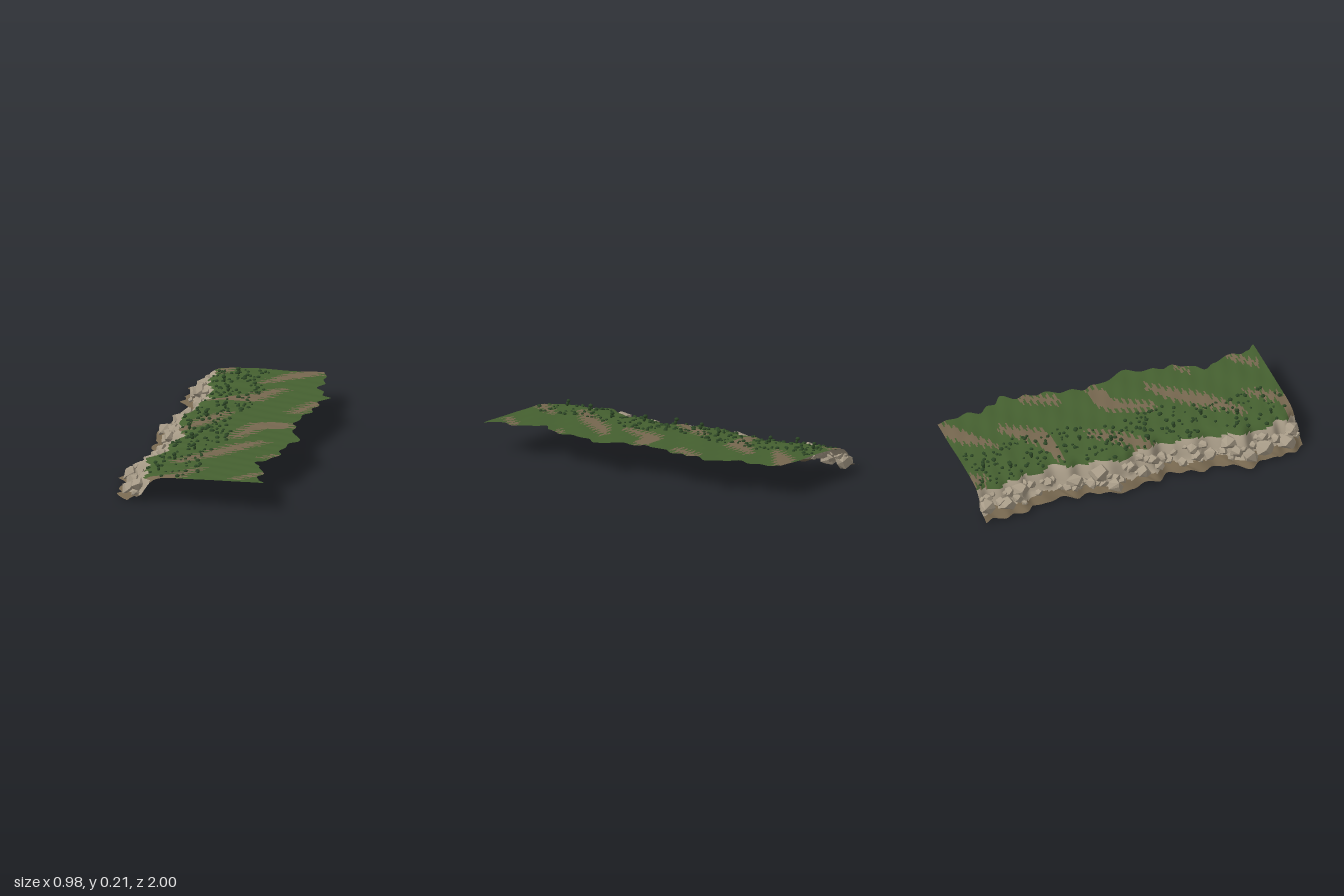
import * as THREE from 'three';
import { mergeGeometries } from 'three/addons/utils/BufferGeometryUtils.js';
import { ConvexGeometry } from 'three/addons/geometries/ConvexGeometry.js';

const flat = (name, color, extra = {}) => new THREE.MeshStandardMaterial({ name, color, ...extra });

// Seeded random numbers
let seed = 7;
const rand = () => {
  seed = (seed * 16807) % 2147483647;
  return seed / 2147483647;
};
const range = (a, b) => a + (b - a) * rand();

// Outlines of both long edges as [z, x]
const toeEdge = [[-1, -0.475], [-0.93, -0.435], [-0.86, -0.46], [-0.81, -0.44], [-0.74, -0.46], [-0.67, -0.39],
  [-0.58, -0.40], [-0.5, -0.375], [-0.42, -0.42], [-0.35, -0.385], [-0.27, -0.42], [-0.18, -0.46], [-0.08, -0.44],
  [0, -0.405], [0.08, -0.43], [0.17, -0.35], [0.25, -0.385], [0.36, -0.42], [0.45, -0.38], [0.53, -0.42],
  [0.64, -0.49], [0.72, -0.42], [0.83, -0.44], [0.88, -0.41], [0.92, -0.43], [1, -0.355]];
const farEdge = [[-1, 0.34], [-0.93, 0.37], [-0.88, 0.365], [-0.8, 0.395], [-0.73, 0.36], [-0.66, 0.42], [-0.62, 0.42],
  [-0.56, 0.485], [-0.48, 0.425], [-0.42, 0.45], [-0.36, 0.42], [-0.3, 0.44], [-0.22, 0.395], [-0.15, 0.405],
  [-0.08, 0.375], [-0.02, 0.41], [0.05, 0.405], [0.21, 0.487], [0.29, 0.435], [0.36, 0.44], [0.42, 0.415],
  [0.48, 0.44], [0.55, 0.4], [0.6, 0.385], [0.65, 0.325], [0.72, 0.37], [0.84, 0.425], [0.9, 0.4], [0.95, 0.42], [1, 0.465]];

// Cliff section as [distance from toe, height]
const section = [[0, 0.012], [0.05, 0.032], [0.085, 0.047], [0.105, 0.08], [0.135, 0.12], [0.165, 0.143],
  [0.2, 0.154], [0.28, 0.163], [0.42, 0.169], [0.95, 0.178]];

// Bare earth streaks: x, z, radius at each end
const streaks = [
  [0.29, -0.99, 0.055, 0.17, -0.9, 0.055], [0.17, -0.9, 0.055, 0.03, -0.75, 0.015],
  [0.18, -0.67, 0.025, 0.04, -0.49, 0.07], [0.04, -0.48, 0.06, -0.18, -0.44, 0.025],
  [0.42, -0.44, 0.04, 0.34, -0.28, 0.035], [-0.04, -0.2, 0.025, -0.14, -0.04, 0.05],
  [-0.14, -0.04, 0.05, -0.26, 0.11, 0.035], [0.34, -0.03, 0.05, 0.2, 0.0, 0.06],
  [0.17, 0.03, 0.055, 0.1, 0.23, 0.03], [0.29, 0.27, 0.02, 0.17, 0.38, 0.05],
  [0.17, 0.38, 0.05, 0.06, 0.52, 0.06], [0.06, 0.52, 0.06, -0.12, 0.71, 0.025],
  [0.4, 0.5, 0.02, 0.35, 0.56, 0.012], [0.4, 0.83, 0.025, 0.29, 0.95, 0.025],
  [0.04, 0.8, 0.02, -0.07, 0.96, 0.04], [-0.09, 0.99, 0.04, -0.28, 0.99, 0.03],
  [-0.24, -1, 0.05, -0.24, -0.92, 0.02]];

// Eased lookup in a list of [key, value]
function lookup(list, k, ease = true) {
  let i = 1;
  while (i < list.length - 1 && list[i][0] < k) i++;
  const [k0, v0] = list[i - 1], [k1, v1] = list[i];
  let t = THREE.MathUtils.clamp((k - k0) / (k1 - k0), 0, 1);
  if (ease) t = t * t * (3 - 2 * t);
  return v0 + (v1 - v0) * t;
}

const toe = z => lookup(toeEdge, z);
function height(x, z) {
  const d = x - toe(z);
  const bump = Math.sin(z * 37 + d * 50) * Math.sin(z * 13 + 1) * 0.01 * Math.max(0, 1 - d / 0.16);
  const fold = Math.sin(x * 14 + z * 22) * 0.0018 + Math.sin(z * 61 - x * 20) * 0.0012;
  return Math.max(0.004, lookup(section, d, false) + bump + fold);
}

// Streak test, with each row shifted along x for ragged edges
function isBare(x, z) {
  const px = x + 0.022 * Math.sin(z * 517) + 0.012 * Math.sin(z * 173);
  return streaks.some(([x0, z0, r0, x1, z1, r1]) => {
    const dx = x1 - x0, dz = z1 - z0;
    const t = THREE.MathUtils.clamp(((px - x0) * dx + (z - z0) * dz) / (dx * dx + dz * dz), 0, 1);
    return Math.hypot(px - x0 - t * dx, z - z0 - t * dz) < r0 + (r1 - r0) * t;
  });
}

// Sheet of ground; pick(x, z, d) gives the material number of a cell
function groundSheet(drop, flip, pick, materials) {
  const rows = 220, cliffCols = 16, cols = 56, pos = [];
  for (let i = 0; i <= rows; i++) {
    const z = -1 + (2 * i) / rows, left = toe(z), right = lookup(farEdge, z);
    for (let j = 0; j <= cols; j++) {
      const x = j <= cliffCols ? left + (0.2 * j) / cliffCols
        : THREE.MathUtils.lerp(left + 0.2, right, (j - cliffCols) / (cols - cliffCols));
      pos.push(x, height(x, z) - drop, z);
    }
  }
  const lists = materials.map(() => []);
  for (let i = 0; i < rows; i++) for (let j = 0; j < cols; j++) {
    const a = i * (cols + 1) + j, b = a + 1, c = a + cols + 1, d = c + 1;
    const x = (pos[a * 3] + pos[d * 3]) / 2, z = (pos[a * 3 + 2] + pos[d * 3 + 2]) / 2;
    const list = lists[pick(x, z, x - toe(z))];
    if (flip) list.push(a, b, c, b, d, c);
    else list.push(a, c, b, b, c, d);
  }
  const geo = new THREE.BufferGeometry();
  geo.setAttribute('position', new THREE.Float32BufferAttribute(pos, 3));
  geo.setIndex(lists.flat());
  let start = 0;
  lists.forEach((l, m) => { geo.addGroup(start, l.length, m); start += l.length; });
  geo.computeVertexNormals();
  return new THREE.Mesh(geo, materials);
}

// Faceted boulder, kept inside the ends of the strip
function boulder(x, y, z, rx, ry, rz) {
  const points = [], n = 12;
  for (let i = 0; i < n; i++) {
    const u = 1 - (2 * (i + 0.5)) / n, a = i * 2.4 + range(-0.5, 0.5), r = Math.sqrt(1 - u * u), s = range(0.9, 1.2);
    points.push(new THREE.Vector3(
      Math.max(-0.47, x + Math.cos(a) * r * rx * s),
      Math.max(0.006, y + u * ry * s),
      THREE.MathUtils.clamp(z + Math.sin(a) * r * rz * s, -1, 1)));
  }
  return new ConvexGeometry(points);
}

export function createModel() {
  seed = 7;
  const grass = flat('grass green', 0x456030);
  const earth = flat('bare earth', 0x76674f);
  const rock = flat('pale rock', 0xa59985);
  const leaf = flat('dark leaf green', 0x2d4726);
  const stone = flat('boulder stone', 0xa89c88, { flatShading: true });
  const group = new THREE.Group();
  const add = (mesh, name) => { mesh.name = name; group.add(mesh); };

  // Ground surface: earth toe, rock wall, grass with bare streaks
  add(groundSheet(0, false, (x, z, d) => {
    if (d < 0.062 + 0.014 * Math.sin(z * 40)) return 1;
    if (d < 0.15 + 0.014 * Math.sin(z * 23)) return 2;
    return isBare(x, z) ? 1 : 0;
  }, [grass, earth, rock]), 'groundSurface');

  // Underside of the ground
  add(groundSheet(0.003, true, (x, z, d) => (d < 0.065 ? 0 : 1), [earth, rock]), 'groundUnderside');

  // Boulders: large ones at chosen [x, z, radius], then smaller ones along the wall
  const boulders = [[-0.37, -0.96, 0.06], [-0.39, -0.84, 0.055], [-0.34, -0.74, 0.055], [-0.33, -0.24, 0.07],
    [-0.41, -0.18, 0.05], [-0.33, -0.4, 0.055], [-0.35, 0.02, 0.045], [-0.33, 0.36, 0.045], [-0.32, 0.56, 0.055],
    [-0.42, 0.65, 0.05], [-0.36, 0.76, 0.065], [-0.36, 0.9, 0.055], [-0.3, 0.95, 0.05]]
    .map(([x, z, r]) => boulder(x, Math.min(0.1, height(x, z) + 0.012), z, r * 0.85, r * 0.8, r));
  for (let i = 0; i < 56; i++) {
    const z = -0.98 + (1.96 * i) / 55, d = range(0.06, 0.125), r = range(0.016, 0.042), x = toe(z) + d;
    boulders.push(boulder(x - r * 0.2, height(x, z) + r * 0.15, z, r * range(0.8, 1), r * range(0.7, 1), r * range(0.8, 1.2)));
  }
  add(new THREE.Mesh(mergeGeometries(boulders), stone), 'cliffBoulders');

  // Bushes between the crest and the open grass
  const bushes = [];
  const bush = (x, y, z, r, h) => {
    const g = new THREE.IcosahedronGeometry(1, 1);
    g.scale(r * range(0.85, 1.2), h, r * range(0.85, 1.2));
    g.rotateY(rand() * 6);
    g.translate(x, y, z);
    bushes.push(g);
  };
  for (let i = 0; i < 245; i++) {
    const z = range(-0.97, 0.97), x = toe(z) + 0.165 + 0.3 * rand(), r = range(0.006, 0.013);
    if (x < 0.07) bush(x, height(x, z) + r * 0.2, z, r, r * 0.8);
  }
  // Taller bushes
  [0.86, 0.67, 0.47, 0.28, 0.1, -0.11, -0.28, -0.6, -0.75, -0.9].forEach((z, i) => {
    const x = [-0.2, -0.15, -0.08, -0.14][i % 4], y = height(x, z);
    bush(x, y + 0.03, z, 0.012, 0.011);
    bush(x + 0.004, y + 0.012, z + 0.005, 0.009, 0.014);
  });
  add(new THREE.Mesh(mergeGeometries(bushes), leaf), 'bushes');

  return group;
}
